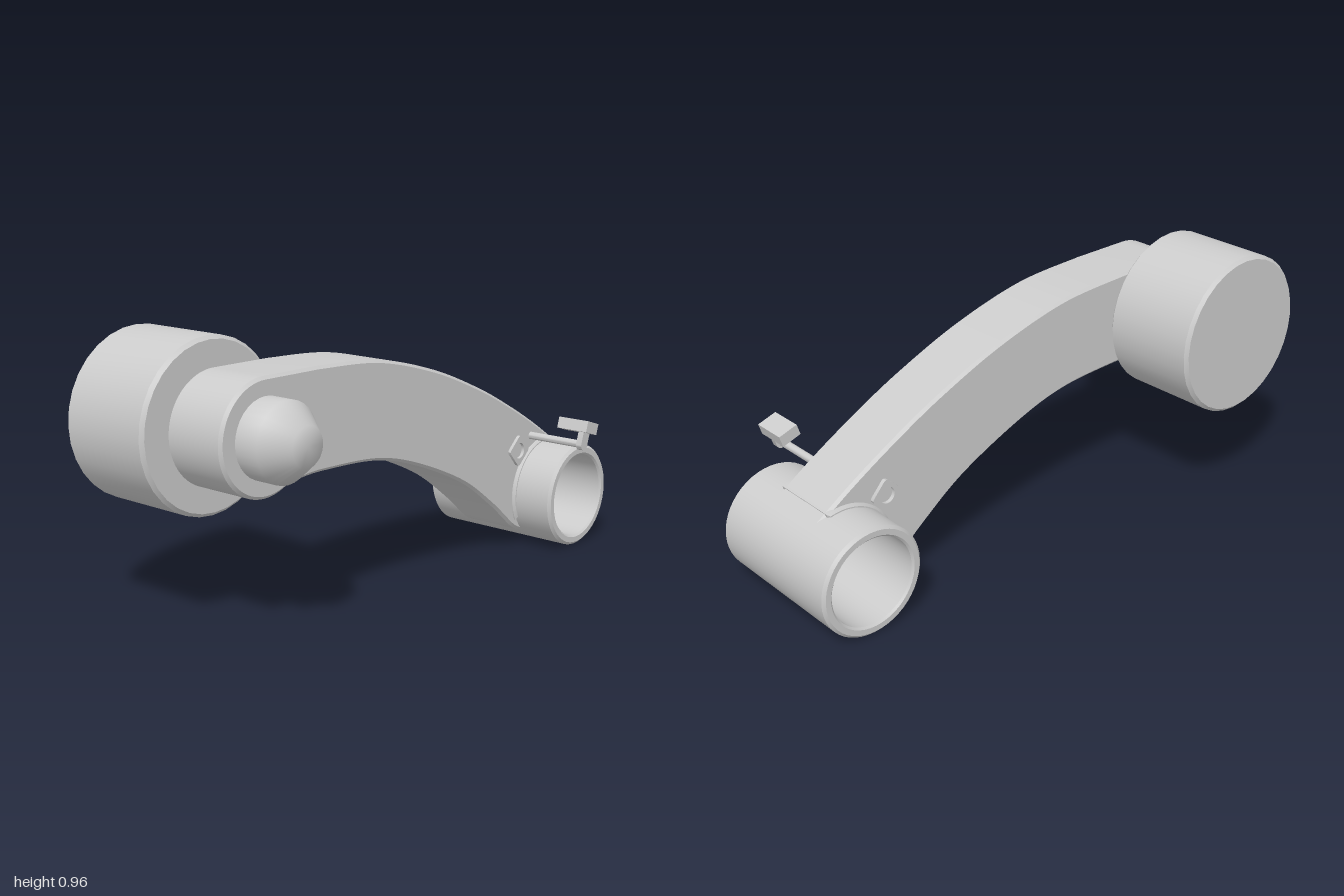
import * as THREE from 'three';
import { toCreasedNormals } from 'three/addons/utils/BufferGeometryUtils.js';

const V = (x, y) => new THREE.Vector2(x, y);
const PIVOT = V(-0.71, 0.67);   // roller and knob axis
const HUB = V(0.8, 0.2);        // tube axis

export function createModel() {
  const model = new THREE.Group();
  const material = new THREE.MeshStandardMaterial({ color: 0xcccccc });

  function add(name, geometry, crease = 0.6) {
    const mesh = new THREE.Mesh(toCreasedNormals(geometry, crease), material);
    mesh.name = name;
    model.add(mesh);
    return mesh;
  }

  // Turned part along z: profile is [radius, z] pairs
  function turned(name, centre, profile, sides, crease) {
    const g = new THREE.LatheGeometry(profile.map(([r, z]) => V(r, z)), sides);
    g.rotateX(Math.PI / 2).translate(centre.x, centre.y, 0);
    return add(name, g, crease);
  }

  // Flat outline extruded from z0 to z1, with bevelled edges kept inside it
  function slab(name, shape, z0, z1, bevel, curveSegments = 24) {
    const g = new THREE.ExtrudeGeometry(shape, {
      depth: z1 - z0 - 2 * bevel, curveSegments,
      bevelEnabled: bevel > 0, bevelSize: bevel, bevelThickness: bevel,
      bevelOffset: -bevel, bevelSegments: 1,
    });
    g.translate(0, 0, z0 + bevel);
    return add(name, g);
  }

  // Curved arm, with its lower end notched around the tube
  const rad = THREE.MathUtils.degToRad;
  const arm = new THREE.Shape();
  arm.moveTo(-0.55, 0.512);
  arm.splineThru([V(-0.445, 0.515), V(-0.2, 0.5), V(0.01, 0.445), V(0.275, 0.33),
    V(0.46, 0.205), V(0.6, 0.09), V(0.66, 0.06)]);
  arm.absarc(HUB.x, HUB.y, 0.177, rad(225), rad(57), true);
  arm.lineTo(0.905, 0.362);
  arm.splineThru([V(0.755, 0.46), V(0.58, 0.56), V(0.38, 0.66), V(0.115, 0.765),
    V(-0.18, 0.84), V(-0.47, 0.86)]);
  arm.absarc(PIVOT.x, PIVOT.y, 0.192, rad(90), rad(292), false);
  arm.quadraticCurveTo(-0.59, 0.512, -0.55, 0.512);
  slab('arm', arm, -0.066, 0.172, 0.01);

  // Hollow tube
  turned('tube', HUB, [[0.185, -0.23], [0.195, -0.22], [0.195, 0.325], [0.185, 0.335],
    [0.165, 0.335], [0.158, 0.328], [0.158, -0.223], [0.165, -0.23], [0.185, -0.23]], 48);

  // Weld collar where the arm meets the tube
  const collar = new THREE.Shape();
  collar.absarc(HUB.x, HUB.y, 0.207, rad(75), rad(205), false);
  collar.absarc(HUB.x, HUB.y, 0.18, rad(205), rad(75), true);
  slab('collar', collar, -0.078, 0.184, 0.008);

  // Roller behind the arm and knob in front of it
  turned('roller', PIVOT, [[0, -0.43], [0.28, -0.43], [0.292, -0.418], [0.292, -0.078],
    [0.28, -0.066], [0, -0.066]], 32);
  turned('knob', PIVOT, [[0, 0.16], [0.132, 0.16], [0.132, 0.262], [0.066, 0.346],
    [0, 0.346]], 32, 1.0);

  // Diamond pads with a round recess on both faces of the arm
  for (const [z0, z1] of [[-0.08, -0.06], [0.165, 0.184]]) {
    const pad = new THREE.Shape();
    const h = 0.044, c = 0.012;
    for (let i = 0; i < 4; i++) {
      const a = i * Math.PI / 2 - Math.PI / 2;
      const k = h - c;
      const cx = k * Math.SQRT2 * Math.cos(a + Math.PI / 4);
      const cy = k * Math.SQRT2 * Math.sin(a + Math.PI / 4);
      pad.absarc(cx, cy, c, a, a + Math.PI / 2, false);
    }
    pad.closePath();
    pad.holes.push(new THREE.Path().absarc(0, 0, 0.03, 0, Math.PI * 2, true));
    const mesh = slab('pad', pad, z0, z1, 0, 8);
    mesh.position.set(0.62, 0.384, 0);
    mesh.rotation.z = rad(42);
  }

  // Latch: pin, short lever and thumb block
  turned('latchPin', V(0.708, 0.427), [[0, 0.15], [0.014, 0.15], [0.014, 0.4], [0, 0.4]], 16);
  const latch = new THREE.Shape();
  latch.absarc(0, 0, 0.021, Math.PI, Math.PI * 2, false);
  latch.lineTo(0.021, 0.05);
  latch.lineTo(-0.021, 0.05);
  latch.closePath();
  const lever = slab('latchLever', latch, 0.388, 0.411, 0, 8);
  lever.position.set(0.711, 0.426, 0);
  lever.rotation.z = rad(-18);
  const block = add('latchBlock', new THREE.BoxGeometry(0.075, 0.042, 0.127));
  block.position.set(0.728, 0.49, 0.369);
  block.rotation.z = rad(-18);

  return model;
}
